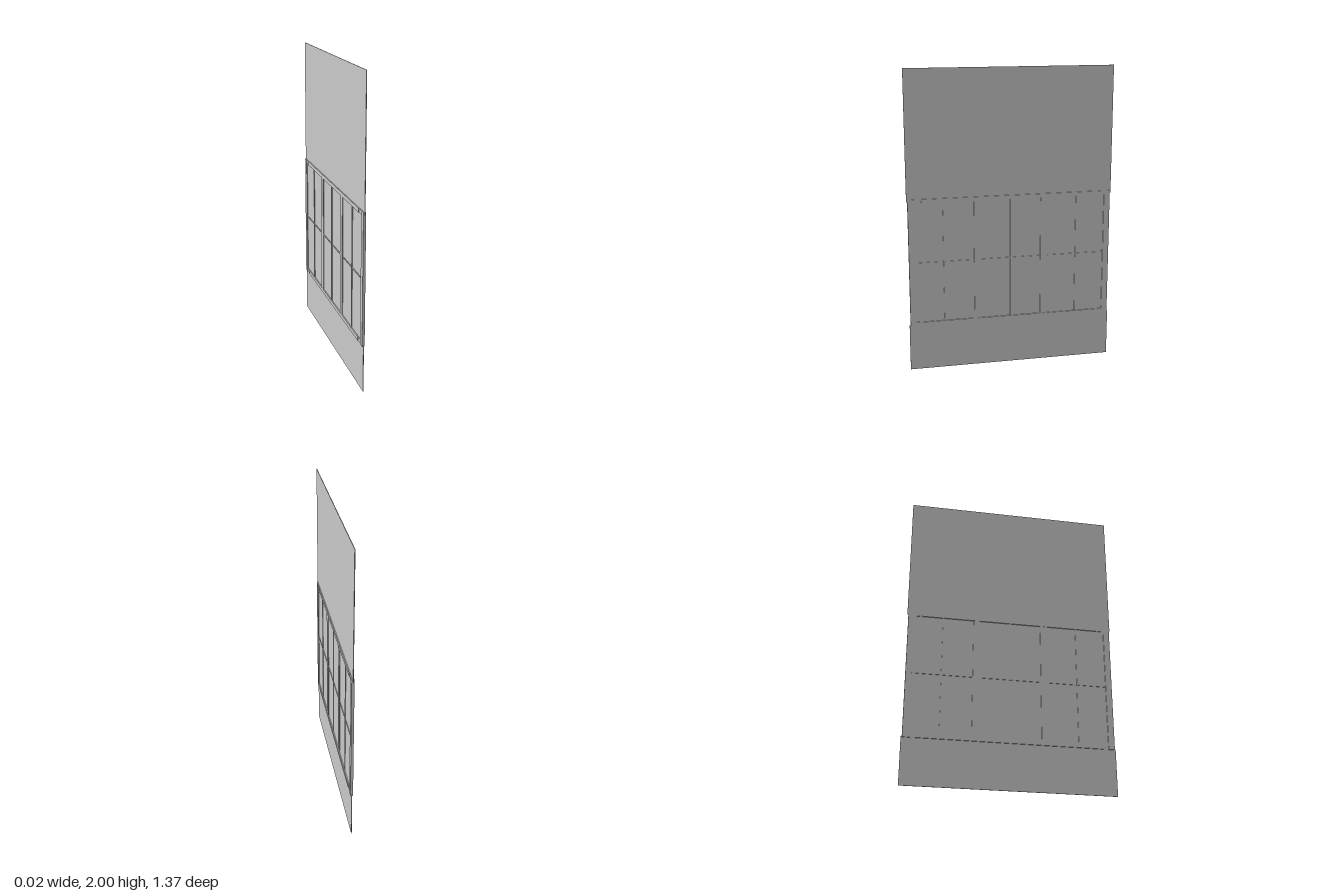
import * as THREE from 'three';

export function createModel() {
  const model = new THREE.Group();
  const material = new THREE.MeshStandardMaterial({ color: 0xcccccc, flatShading: true });

  // Box given by its thickness in x and its extents in y and z
  function slab(name, thickness, y0, y1, z0, z1, parent = model) {
    const mesh = new THREE.Mesh(new THREE.BoxGeometry(thickness, y1 - y0, z1 - z0), material);
    mesh.position.set(0, (y0 + y1) / 2, (z0 + z1) / 2);
    mesh.name = name;
    parent.add(mesh);
  }

  // Thin wall above and below the window band
  slab('lowerWall', 0.004, 0, 0.31, -0.687, 0.687);
  slab('upperWall', 0.004, 1.15, 2, -0.687, 0.687);

  const frame = new THREE.Group();
  frame.name = 'windowFrame';
  model.add(frame);

  // Rails: a thin full-length core with a thicker middle length
  for (const [name, y0, y1] of [['bottomRail', 0.305, 0.332], ['topRail', 1.14, 1.167]]) {
    slab(name + 'Core', 0.011, y0, y1, -0.645, 0.645, frame);
    slab(name, 0.017, y0, y1, -0.59, 0.59, frame);
  }

  // End stiles and the two mullions between the sashes
  for (const side of [-1, 1]) {
    const z = side * 0.66;
    slab('endStile', 0.017, 0.305, 1.167, z - 0.02, z + 0.02, frame);
    const m = side * 0.225;
    slab('mullion', 0.014, 0.332, 1.14, m - 0.023, m + 0.023, frame);
  }

  // Three sashes, each with a pane and crossed glazing bars
  for (const [z, half] of [[-0.448, 0.2], [0, 0.202], [0.448, 0.2]]) {
    const sash = new THREE.Group();
    sash.name = 'sash';
    model.add(sash);
    slab('pane', 0.003, 0.332, 1.14, z - half, z + half, sash);
    slab('verticalBar', 0.012, 0.332, 1.14, z - 0.004, z + 0.004, sash);
    slab('horizontalBar', 0.011, 0.735, 0.743, z - half, z + half, sash);
  }

  return model;
}
